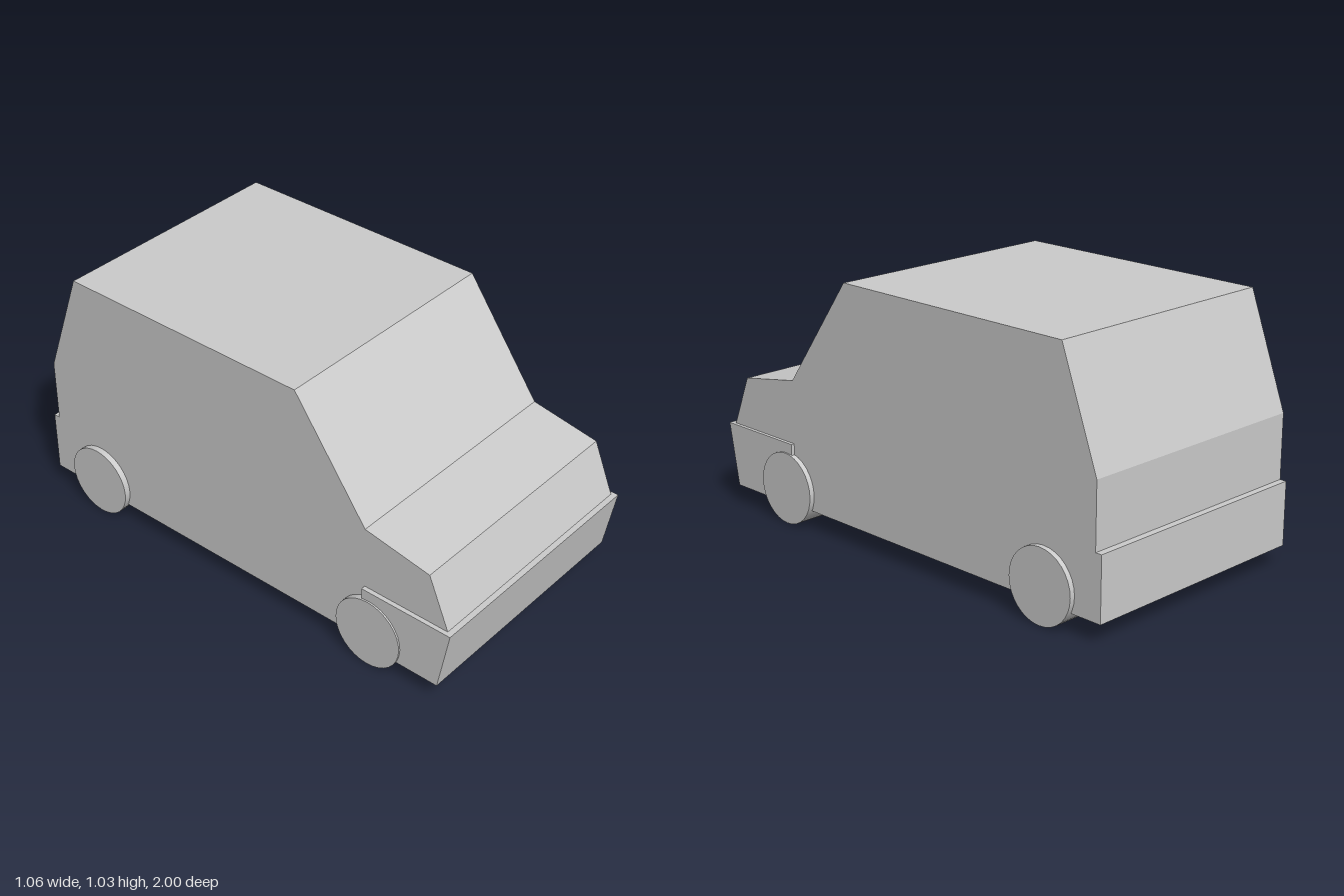
import * as THREE from 'three';

const material = new THREE.MeshStandardMaterial({ color: 0xcccccc, flatShading: true });

// Extrudes a side profile of [z, y] points across the car's width
function sideProfile(name, points, width, x = 0) {
  const shape = new THREE.Shape(points.map(([z, y]) => new THREE.Vector2(-z, y)));
  const geometry = new THREE.ExtrudeGeometry(shape, { depth: width, bevelEnabled: false });
  geometry.translate(0, 0, -width / 2);
  geometry.rotateY(Math.PI / 2);
  const mesh = new THREE.Mesh(geometry, material);
  mesh.name = name;
  mesh.position.x = x;
  return mesh;
}

export function createModel() {
  const car = new THREE.Group();
  car.name = 'car';

  // Cabin, bonnet and hatch in one shell
  car.add(sideProfile('body', [
    [0.93, 0.08], [0.977, 0.332], [0.89, 0.54], [0.605, 0.59], [0.285, 1.032],
    [-0.81, 1.032], [-0.973, 0.59], [-0.973, 0.08],
  ], 1.01, 0.002));

  // Front bumper wraps round to the wheels; rear bumper sits flush with the sides
  car.add(sideProfile('frontBumper', [
    [0.953, 0.078], [1.0, 0.333], [0.607, 0.333], [0.607, 0.078],
  ], 1.042));
  car.add(sideProfile('rearBumper', [
    [-0.95, 0.08], [-0.95, 0.333], [-1.0, 0.333], [-1.0, 0.08],
  ], 1.01, 0.002));

  // Wheels, smooth round the tread with flat faces
  const wheelMaterial = new THREE.MeshStandardMaterial({ color: 0xcccccc });
  const wheelGeometry = new THREE.CylinderGeometry(0.146, 0.146, 0.126, 32);
  wheelGeometry.rotateZ(Math.PI / 2);
  for (const [end, z] of [['front', 0.64], ['rear', -0.735]]) {
    for (const [side, sign] of [['Left', 1], ['Right', -1]]) {
      const wheel = new THREE.Mesh(wheelGeometry, wheelMaterial);
      wheel.name = `${end}${side}Wheel`;
      wheel.position.set(sign * 0.465, 0.146, z);
      car.add(wheel);
    }
  }
  return car;
}
